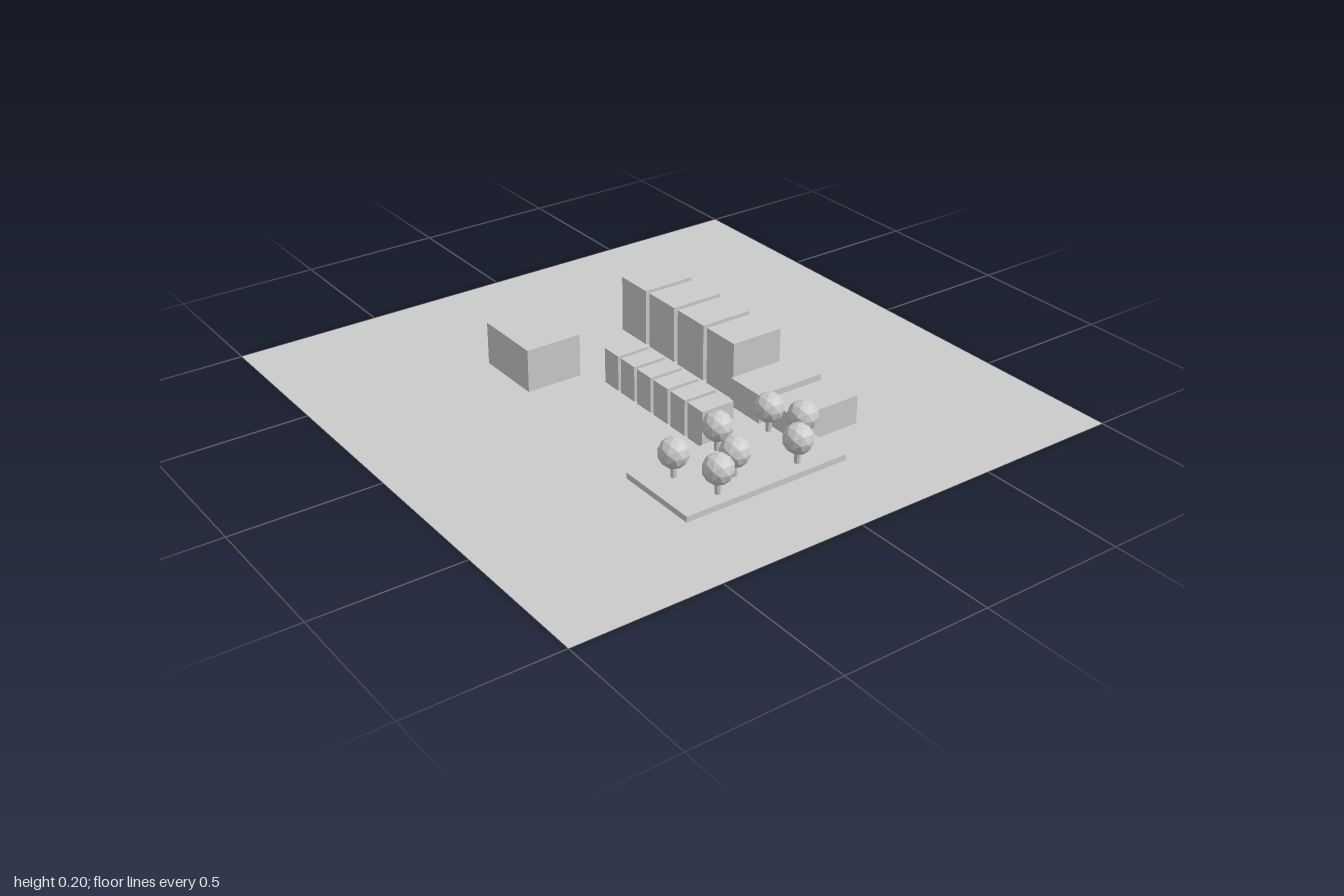
import * as THREE from 'three';

export function createModel() {
  const model = new THREE.Group();
  const grey = new THREE.MeshStandardMaterial({ color: 0xcccccc, flatShading: true });
  const sheet = new THREE.MeshStandardMaterial({ color: 0xcccccc, side: THREE.DoubleSide });

  function add(name, geometry, x, y, z, material = grey, parent = model) {
    const mesh = new THREE.Mesh(geometry, material);
    mesh.name = name;
    mesh.position.set(x, y, z);
    parent.add(mesh);
    return mesh;
  }

  // A box resting on the ground
  function block(name, x, z, width, height, depth) {
    add(name, new THREE.BoxGeometry(width, height, depth), x, height / 2, z);
  }

  // Flat site
  add('ground', new THREE.PlaneGeometry(2, 2).rotateX(-Math.PI / 2), 0, 0, 0, sheet);

  // Row of tall blocks along the back
  for (let i = 0; i < 4; i++) block('tallBuilding' + (i + 1), -0.35 + i * 0.16, -0.25, 0.14, 0.2, 0.19);

  // Two low blocks continuing that row
  [0.3, 0.475].forEach((x, i) => block('lowBuilding' + (i + 1), x, -0.25, 0.145, 0.1, 0.25));

  // Terrace of small houses
  for (let i = 0; i < 6; i++) block('rowHouse' + (i + 1), -0.1 + i * 0.09, 0.05, 0.075, 0.125, 0.12);

  // Detached hall
  block('hall', -0.35, 0.25, 0.25, 0.15, 0.2);

  // Raised park with trees
  block('parkBase', 0.55, 0.1, 0.3, 0.02, 0.6);
  const trunk = new THREE.CylinderGeometry(0.01, 0.01, 0.05, 8);
  const crown = new THREE.IcosahedronGeometry(0.05, 1);
  const spots = [[0.45, -0.1], [0.55, -0.15], [0.65, -0.05], [0.45, 0.1], [0.6, 0.15], [0.65, 0.25], [0.5, 0.3]];
  spots.forEach(([x, z], i) => {
    const tree = new THREE.Group();
    tree.name = 'tree' + (i + 1);
    tree.position.set(x, 0.02, z);
    add('trunk', trunk, 0, 0.025, 0, grey, tree);
    add('crown', crown, 0, 0.083, 0, grey, tree);
    model.add(tree);
  });

  return model;
}
